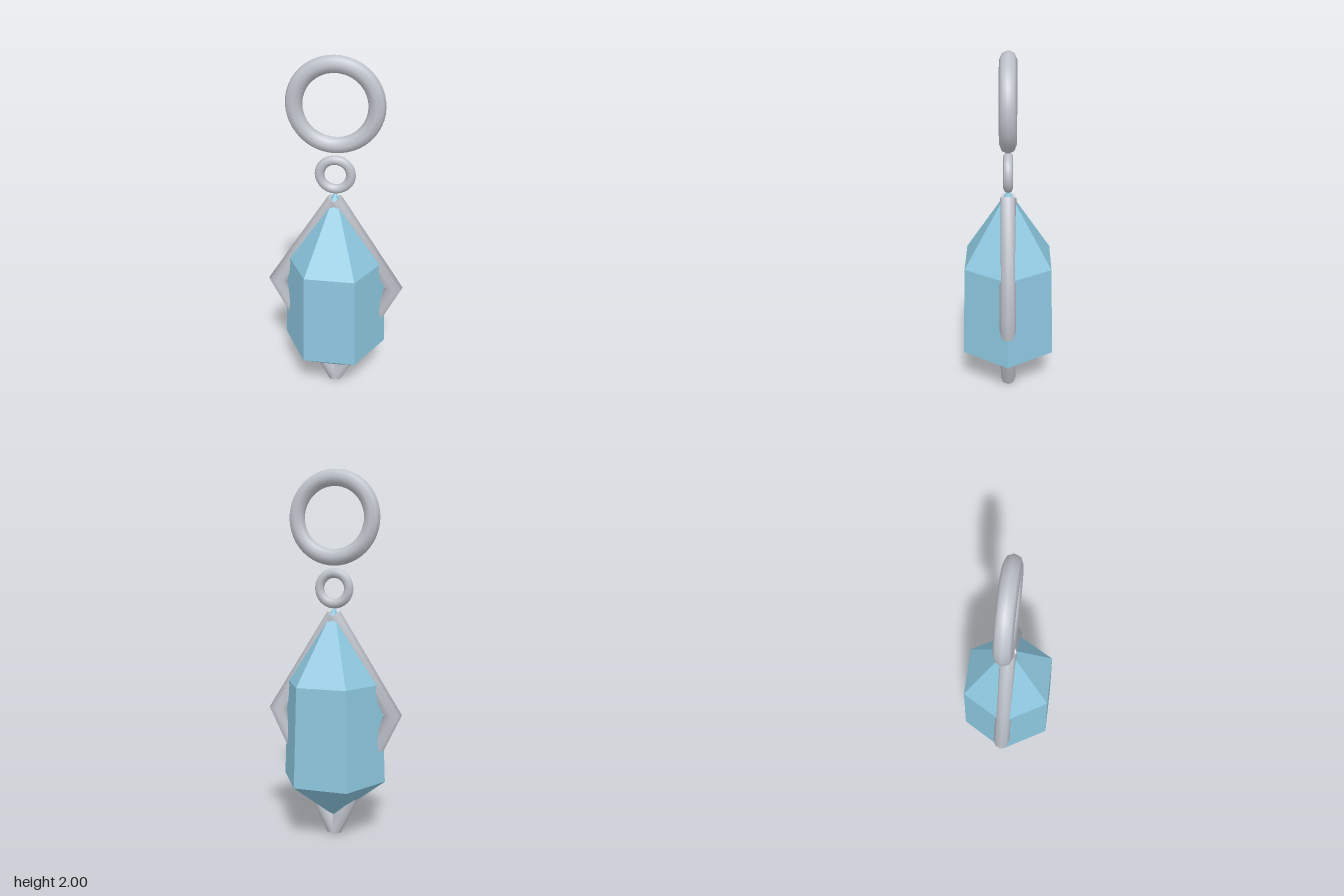
import * as THREE from 'three';

const silver = new THREE.MeshStandardMaterial({ color: 0xc0c4cc });
silver.name = 'silver';
const blue = new THREE.MeshStandardMaterial({ color: 0x8cc6de });
blue.name = 'crystalBlue';

const SIDES = 8;

function addMesh(parent, name, geometry, material) {
  const mesh = new THREE.Mesh(geometry, material);
  mesh.name = name;
  parent.add(mesh);
  return mesh;
}

// Round rod along a flat path in the xy plane, mitred at its bends and capped
function rodGeometry(path, radius) {
  const pos = [], index = [];
  const last = path.length - 1;
  const rings = path.map((p, i) => {
    const a = path[Math.max(i - 1, 0)], b = path[Math.min(i + 1, last)];
    const d1 = (i > 0 ? p.clone().sub(a) : b.clone().sub(p)).normalize();
    const d2 = (i < last ? b.clone().sub(p) : p.clone().sub(a)).normalize();
    const t = d1.clone().add(d2).normalize();
    const side = new THREE.Vector2(-t.y, t.x).multiplyScalar(radius / t.dot(d1));
    return Array.from({ length: SIDES }, (_, k) => {
      const w = (k / SIDES) * Math.PI * 2;
      return [p.x + side.x * Math.cos(w), p.y + side.y * Math.cos(w), radius * Math.sin(w)];
    });
  });
  rings.forEach(ring => ring.forEach(v => pos.push(...v)));
  for (let i = 0; i < last; i++) {
    for (let k = 0; k < SIDES; k++) {
      const n = (k + 1) % SIDES;
      const a = i * SIDES + k, b = i * SIDES + n, c = a + SIDES, d = b + SIDES;
      index.push(a, c, b, b, c, d);
    }
  }
  // end caps have their own vertices so their rims stay sharp
  [0, last].forEach(i => {
    const start = pos.length / 3;
    rings[i].forEach(v => pos.push(...v));
    for (let k = 1; k < SIDES - 1; k++) {
      if (i === 0) index.push(start, start + k, start + k + 1);
      else index.push(start, start + k + 1, start + k);
    }
  });
  // keep triangles facing outward: the path frame is (side, z, tangent)
  const geo = new THREE.BufferGeometry();
  geo.setAttribute('position', new THREE.Float32BufferAttribute(pos, 3));
  for (let i = 0; i < index.length; i += 3) {
    [index[i + 1], index[i + 2]] = [index[i + 2], index[i + 1]];
  }
  geo.setIndex(index);
  orientOutward(geo);
  geo.computeVertexNormals();
  return geo;
}

// Flip the whole closed surface if its signed volume is negative
function orientOutward(geo) {
  const p = geo.attributes.position, idx = geo.index.array;
  const v = [0, 1, 2].map(() => new THREE.Vector3());
  let volume = 0;
  for (let i = 0; i < idx.length; i += 3) {
    v.forEach((q, j) => q.fromBufferAttribute(p, idx[i + j]));
    volume += v[0].dot(v[1].clone().cross(v[2]));
  }
  if (volume < 0) {
    for (let i = 0; i < idx.length; i += 3) [idx[i + 1], idx[i + 2]] = [idx[i + 2], idx[i + 1]];
  }
}

export function createModel() {
  const group = new THREE.Group();
  group.name = 'crystalPendant';

  // Six-sided faceted crystal with a point at each end
  const profile = [[0, 0.1], [0.291, 0.325], [0.27, 0.865], [0, 1.275]]
    .map(([r, y]) => new THREE.Vector2(r, y));
  const crystal = new THREE.LatheGeometry(profile, 6, Math.PI / 2).toNonIndexed();
  crystal.computeVertexNormals();
  addMesh(group, 'crystal', crystal, blue);

  // Bent holder rods on both sides, crossing into the crystal and meeting below it
  for (const [name, s] of [['leftHolder', 1], ['rightHolder', -1]]) {
    const path = [[0, 1.228], [0.331, 0.7], [0, 0.022]]
      .map(([x, y]) => new THREE.Vector2(s * x, y));
    addMesh(group, name, rodGeometry(path, 0.044), silver);
  }

  // Hanging rings
  addMesh(group, 'smallRing', new THREE.TorusGeometry(0.082, 0.026, SIDES, 32), silver).position.y = 1.375;
  addMesh(group, 'largeRing', new THREE.TorusGeometry(0.208, 0.044, SIDES, 48), silver).position.y = 1.748;

  return group;
}
